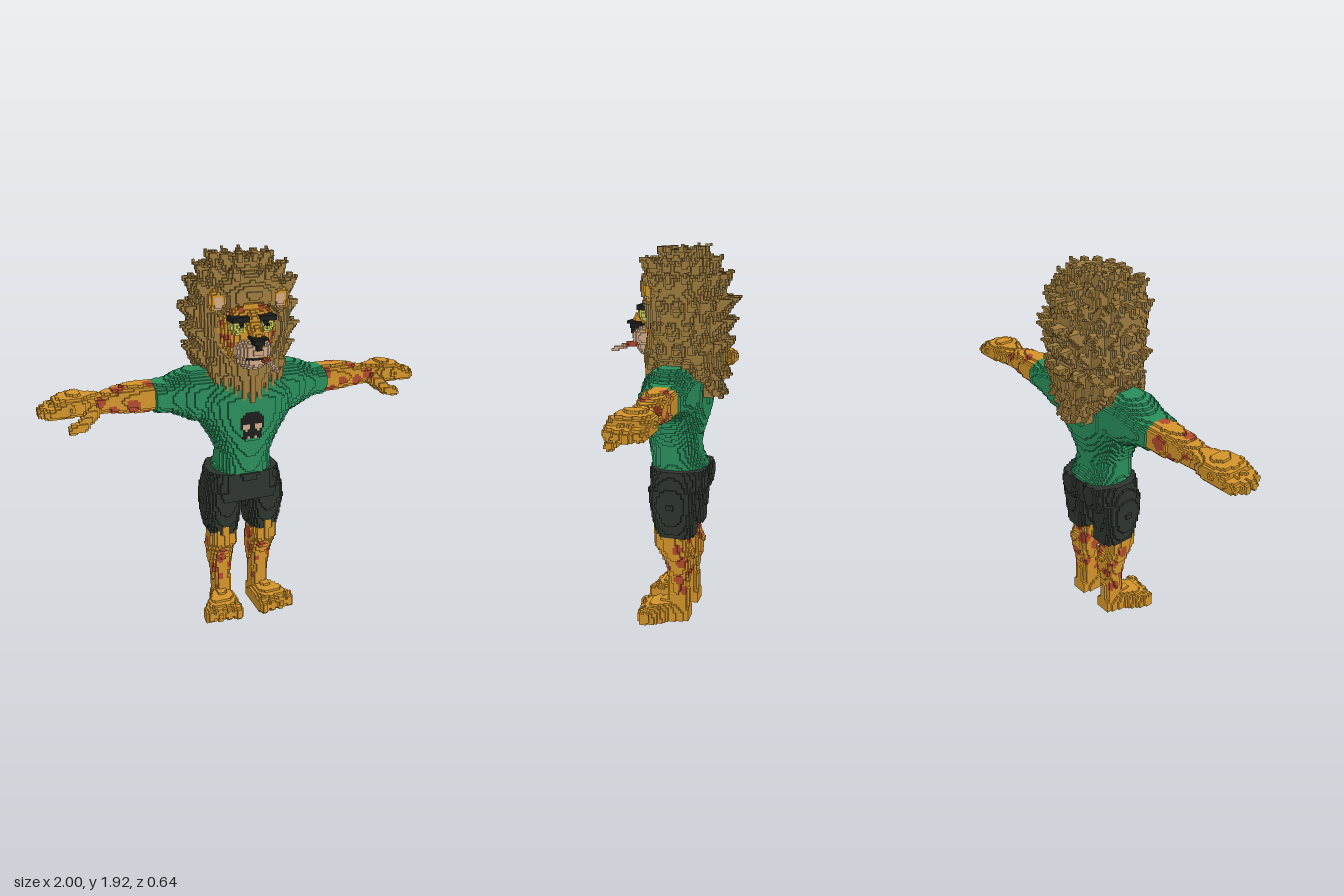
import * as THREE from 'three';

const S = 0.0125;                       // cube size
const N = [160, 156, 52];               // cubes along x, y, z
const ORIGIN = [-80, 0, -26];

const COLORS = {
  fur: 0xd3942b, spot: 0xb04a2e, mane: 0x9d7b3e, shirt: 0x2a8e5b, shorts: 0x2d352e,
  pale: 0xcfa987, black: 0x1d1d1b, eye: 0xc6c65a,
};

export function createModel() {
  const grid = new Uint8Array(N[0] * N[1] * N[2]);
  const layers = [];                    // one named mesh per layer
  const at = (i, j, k) => (i < 0 || j < 0 || k < 0 || i >= N[0] || j >= N[1] || k >= N[2])
    ? -1 : (i * N[1] + j) * N[2] + k;
  const layer = (name, color) => {
    const found = layers.findIndex((l) => l.name === name);
    return found >= 0 ? found + 1 : layers.push({ name, color });
  };
  let seed = 11;
  const rnd = () => (seed = (seed * 16807) % 2147483647) / 2147483647;
  const sides = [[1, 'left'], [-1, 'right']];

  // Fill the cubes inside a box that pass a test; "over" limits painting to given layers
  function fill(id, box, test, over) {
    const r = [0, 1, 2].map((a) => [
      Math.max(0, Math.floor(box[a][0] / S) - ORIGIN[a]),
      Math.min(N[a] - 1, Math.ceil(box[a][1] / S) - ORIGIN[a])]);
    for (let i = r[0][0]; i <= r[0][1]; i++)
      for (let j = r[1][0]; j <= r[1][1]; j++)
        for (let k = r[2][0]; k <= r[2][1]; k++) {
          const c = at(i, j, k);
          if (over && !over.includes(grid[c])) continue;
          if (test((i + 0.5 + ORIGIN[0]) * S, (j + 0.5) * S, (k + 0.5 + ORIGIN[2]) * S)) grid[c] = id;
        }
  }
  const ALL = [[-1, 1], [0, 1.95], [-0.325, 0.325]];

  // Sections [t, a0, a1, b0, b1] along an axis; a and b are the other two axes in x, y, z order
  function loft(id, axis, rows, side = 1, power = 2.4, keep = () => true) {
    fill(id, ALL, (x, y, z) => {
      const p = [x * side, y, z], t = p[axis];
      if (t < rows[0][0] || t > rows[rows.length - 1][0]) return false;
      let n = 1;
      while (n < rows.length - 1 && rows[n][0] < t) n++;
      const A = rows[n - 1], B = rows[n], f = (t - A[0]) / (B[0] - A[0]);
      const [, a0, a1, b0, b1] = A.map((v, q) => v + (B[q] - v) * f);
      const [a, b] = p.filter((_, q) => q !== axis);
      return Math.abs((2 * a - a0 - a1) / (a1 - a0)) ** power
        + Math.abs((2 * b - b0 - b1) / (b1 - b0)) ** power <= 1 && keep(x, y, z);
    });
  }
  function ball(id, c, r, over) {
    fill(id, c.map((v, q) => [v - r[q], v + r[q]]),
      (x, y, z) => ((x - c[0]) / r[0]) ** 2 + ((y - c[1]) / r[1]) ** 2 + ((z - c[2]) / r[2]) ** 2 <= 1, over);
  }
  function cone(id, a, b, ra, rb, over) {
    const d = b.map((v, q) => v - a[q]), len = d[0] ** 2 + d[1] ** 2 + d[2] ** 2, m = Math.max(ra, rb);
    fill(id, a.map((v, q) => [Math.min(v, b[q]) - m, Math.max(v, b[q]) + m]), (x, y, z) => {
      const f = Math.min(1, Math.max(0, ((x - a[0]) * d[0] + (y - a[1]) * d[1] + (z - a[2]) * d[2]) / len));
      return Math.hypot(x - a[0] - d[0] * f, y - a[1] - d[1] * f, z - a[2] - d[2] * f) <= ra + (rb - ra) * f;
    }, over);
  }
  const block = (id, x0, x1, y0, y1, z0, z1, over) => fill(id, [[x0, x1], [y0, y1], [z0, z1]],
    (x, y, z) => x > x0 && x < x1 && y > y0 && y < y1 && z > z0 && z < z1, over);

  for (const [s, name] of sides) {
    // Legs and feet
    const leg = layer(name + 'Leg', 'fur'), foot = layer(name + 'Foot', 'fur');
    loft(leg, 1, [[0.03, 0.06, 0.155, -0.11, 0.02], [0.12, 0.06, 0.155, -0.11, 0.005], [0.2, 0.06, 0.158, -0.105, -0.003],
      [0.3, 0.05, 0.175, -0.125, 0.005], [0.37, 0.045, 0.185, -0.133, 0.035], [0.42, 0.04, 0.185, -0.11, 0.07],
      [0.52, 0.045, 0.185, -0.1, 0.07]], s);
    loft(foot, 2, [[-0.11, 0.06, 0.15, -0.08, 0.08], [-0.02, 0.05, 0.18, -0.11, 0.11],
      [0.06, 0.045, 0.235, -0.105, 0.105], [0.11, 0.045, 0.25, -0.085, 0.085], [0.13, 0.05, 0.24, -0.06, 0.06]], s, 3);
    for (let t = 0; t < 4; t++)
      ball(foot, [s * (0.076 + t * 0.049), 0.038, 0.12 - t * 0.007], [0.029, 0.045, 0.042]);

    // Arms, fingers and thumb
    const arm = layer(name + 'Arm', 'fur');
    loft(arm, 0, [[0.4, 1.18, 1.31, -0.14, 0.02], [0.52, 1.17, 1.315, -0.14, 0.015], [0.62, 1.18, 1.305, -0.125, 0.005],
      [0.7, 1.19, 1.28, -0.115, 0], [0.76, 1.19, 1.285, -0.135, 0.01], [0.82, 1.19, 1.3, -0.155, 0.03],
      [0.89, 1.19, 1.29, -0.155, 0.035], [0.93, 1.195, 1.27, -0.14, 0.03]], s);
    for (let t = 0; t < 4; t++)
      cone(arm, [s * 0.86, 1.245, -0.125 + t * 0.045], [s * (t % 3 ? 0.975 : 0.95), 1.222, -0.115 + t * 0.04], 0.034, 0.026);
    cone(arm, [s * 0.75, 1.215, 0], [s * 0.81, 1.16, 0.035], 0.035, 0.028);
    cone(arm, [s * 0.81, 1.16, 0.035], [s * 0.86, 1.148, 0.04], 0.028, 0.02);

    // Spots scattered over limbs
    const legSpots = layer(name + 'LegSpots', 'spot'), armSpots = layer(name + 'ArmSpots', 'spot');
    for (let n = 0; n < 16; n++) {
      const a = n * 2.4 + rnd(), r = 0.022 + rnd() * 0.012;
      ball(legSpots, [s * (0.11 + Math.cos(a) * 0.062), 0.13 + n * 0.0215, -0.045 + Math.sin(a) * 0.068], [r, r * 1.2, r], [leg]);
    }
    for (let n = 0; n < 9; n++) {
      const a = n * 2.4 + rnd(), r = 0.024 + rnd() * 0.012;
      ball(armSpots, [s * (0.465 + n * 0.031), 1.24 + Math.cos(a) * 0.06, -0.06 + Math.sin(a) * 0.07], [r, r, r], [arm]);
    }
  }

  // Shorts
  const shorts = layer('shorts', 'shorts');
  loft(shorts, 1, [[0.68, -0.215, 0.215, -0.15, 0.1], [0.75, -0.205, 0.205, -0.165, 0.105], [0.83, -0.185, 0.185, -0.17, 0.108]], 1, 2.7);
  for (const [s] of sides) {
    loft(shorts, 1, [[0.48, 0.033, 0.19, -0.14, 0.06], [0.55, 0.022, 0.207, -0.143, 0.075],
      [0.65, 0.012, 0.22, -0.15, 0.09], [0.72, 0, 0.21, -0.165, 0.1]], s, 2.6);
    fill(shorts, ALL, (x, y, z) => y < 0.83
      && ((x - s * 0.085) / 0.09) ** 2 + ((y - 0.77) / 0.12) ** 2 + ((z + 0.1) / 0.092) ** 2 < 1);
  }

  // Shirt with sleeves
  const shirt = layer('shirt', 'shirt');
  loft(shirt, 1, [[0.825, -0.15, 0.15, -0.175, 0.105], [0.87, -0.138, 0.138, -0.15, 0.11], [0.93, -0.135, 0.135, -0.133, 0.12],
    [1, -0.165, 0.165, -0.145, 0.13], [1.08, -0.215, 0.215, -0.17, 0.142], [1.15, -0.265, 0.265, -0.182, 0.142],
    [1.22, -0.285, 0.285, -0.182, 0.14], [1.3, -0.28, 0.28, -0.17, 0.11], [1.365, -0.2, 0.2, -0.13, 0.05]]);
  for (const [s] of sides)
    loft(shirt, 0, [[0.12, 1.1, 1.36, -0.16, 0.09], [0.27, 1.11, 1.365, -0.165, 0.085], [0.33, 1.14, 1.345, -0.16, 0.065],
      [0.38, 1.162, 1.32, -0.16, 0.055], [0.445, 1.168, 1.31, -0.152, 0.05]], s);

  // Painted skull on the chest
  const skull = layer('chestSkull', 'black'), holes = layer('chestSkullHoles', 'pale');
  ball(skull, [0, 1.105, 0.13], [0.068, 0.062, 0.06], [shirt]);
  block(skull, -0.045, 0.045, 1.025, 1.08, 0.08, 0.2, [shirt]);
  for (const [s] of sides) {
    ball(holes, [s * 0.031, 1.085, 0.135], [0.018, 0.018, 0.05], [skull]);
    block(holes, s * 0.019 - 0.007, s * 0.019 + 0.007, 1.024, 1.04, 0.08, 0.2, [skull]);
  }

  // Mane body, left open around the face and ears
  const mane = layer('mane', 'mane');
  const open = (x, y, z) => !(z > 0.065 && ((x / 0.175) ** 2 + ((y - 1.55) / 0.15) ** 2 < 1
    || Math.hypot(Math.abs(x) - 0.17, y - 1.71) < 0.06));
  const rows = [[1.26, -0.11, 0.11, -0.22, 0.135], [1.35, -0.19, 0.19, -0.24, 0.145], [1.45, -0.235, 0.235, -0.25, 0.145],
    [1.55, -0.25, 0.25, -0.255, 0.145], [1.65, -0.255, 0.255, -0.26, 0.15], [1.75, -0.23, 0.23, -0.235, 0.16],
    [1.82, -0.185, 0.185, -0.18, 0.115], [1.87, -0.12, 0.12, -0.12, 0.03]];
  loft(mane, 1, rows, 1, 2, open);

  // Pointed locks around the mane, mirrored left and right
  rows.forEach((row, q) => {
    const [y, , rx, z0, z1] = row, n = q > 5 ? 6 : 9, cz = (z0 + z1) / 2, rz = (z1 - z0) / 2;
    for (let m = 0; m < n; m++) {
      const a = Math.PI * (m + (q % 2 ? 0.5 : 0.85)) / n;
      if (a < 1.15 && q < 6) continue;
      const sx = Math.sin(a), sz = Math.cos(a), len = 0.045 + rnd() * 0.02;
      const lift = q < 2 ? -0.06 : q < 5 ? 0.02 : 0.045;
      for (const [s] of sides)
        cone(mane, [s * sx * rx * 0.86, y - 0.02, cz + sz * rz * 0.86],
          [s * sx * (rx + len * 0.8), y + lift, cz + sz * (rz + len)], 0.052, 0.006);
    }
  });
  // Crown tufts, beard strands and the hanging point behind
  for (let n = -2; n <= 2; n++) {
    const x = n * 0.068, e = Math.abs(n);
    cone(mane, [x, 1.83, -0.05], [x * 1.1, 1.915 - e * e * 0.009, -0.05], 0.05, 0.008);
    cone(mane, [x * 0.9, 1.8, -0.14], [x * 1.1, 1.88 - e * 0.012, -0.17], 0.05, 0.008);
    cone(mane, [x * 0.9, 1.77, 0.08], [x, 1.87 - e * 0.015, 0.05], 0.045, 0.01);
  }
  for (let n = -4; n <= 4; n++) {
    const e = Math.abs(n), x = n * 0.042;
    cone(mane, [x, 1.38, 0.115 - e * 0.014], [x * 0.95, 1.215 + e * 0.024, 0.14 - e * 0.012], 0.032, 0.01);
    cone(mane, [x * 1.1, 1.4, -0.22 + e * 0.012], [x, 1.18 + e * 0.03, -0.235 + e * 0.012], 0.045, 0.012);
  }

  // Head, muzzle and nose
  const head = layer('head', 'fur'), muzzle = layer('muzzle', 'pale'), nose = layer('nose', 'black');
  ball(head, [0, 1.56, 0.03], [0.148, 0.17, 0.115]);
  ball(muzzle, [0, 1.475, 0.125], [0.09, 0.06, 0.085]);
  ball(muzzle, [0, 1.425, 0.12], [0.07, 0.045, 0.07]);
  cone(head, [0, 1.63, 0.115], [0, 1.545, 0.185], 0.036, 0.03);
  fill(nose, [[-0.04, 0.04], [1.48, 1.56], [0.15, 0.238]],
    (x, y, z) => y > 1.485 && y < 1.553 && Math.abs(x) < 0.006 + (y - 1.485) * 0.5 && z > 0.16 && z < 0.236 - (1.553 - y) * 0.25);
  block(layer('mouth', 'black'), -0.05, 0.05, 1.437, 1.45, 0.17, 0.25, [muzzle]);

  for (const [s, name] of sides) {
    // Ears with pale inner side
    const ear = layer(name + 'Ear', 'fur');
    ball(ear, [s * 0.157, 1.708, 0.07], [0.045, 0.052, 0.034]);
    fill(layer(name + 'EarInner', 'pale'), ALL, (x, y, z) => z > 0.075
      && Math.hypot((x * s - 0.155) / 0.025, (y - 1.695) / 0.034) < 1, [ear]);
    // Eyes with dark lids and pupils
    const eye = layer(name + 'Eye', 'eye'), lid = layer(name + 'Eyelid', 'black');
    ball(eye, [s * 0.072, 1.59, 0.122], [0.037, 0.037, 0.036]);
    block(layer(name + 'Pupil', 'black'), s * 0.068 - 0.0125, s * 0.068 + 0.0125, 1.587, 1.615, 0.14, 0.2, [eye]);
    block(lid, s * 0.07 - 0.042, s * 0.07 + 0.042, 1.612, 1.6375, 0.09, 0.165);
    // Face spots
    const marks = layer('faceSpots', 'spot');
    for (const [x, y, r] of [[0.1, 1.66, 0.018], [0.05, 1.67, 0.016], [0.12, 1.535, 0.02], [0.14, 1.6, 0.018], [0.1, 1.5, 0.014]])
      ball(marks, [s * x, y, 0.1], [r, r, 0.07], [head]);
  }

  // Thin stick held in the mouth
  cone(layer('stickBase', 'spot'), [0.03, 1.445, 0.17], [0.045, 1.432, 0.23], 0.012, 0.012);
  cone(layer('stick', 'pale'), [0.045, 1.43, 0.235], [0.058, 1.405, 0.303], 0.011, 0.011);

  // Turn the visible cube faces into one mesh per layer, joining runs of equal faces
  const data = layers.map(() => ({ pos: [], nor: [], idx: [] }));
  const id = (c) => { const q = at(c[0], c[1], c[2]); return q < 0 ? 0 : grid[q]; };
  const step = (c, a, n) => { const r = [...c]; r[a] += n; return r; };
  for (let i = 0; i < N[0]; i++) for (let j = 0; j < N[1]; j++) for (let k = 0; k < N[2]; k++) {
    const c = [i, j, k], me = id(c);
    if (!me) continue;
    for (let d = 0; d < 3; d++) for (const s of [1, -1]) {
      const u = (d + 1) % 3, v = (d + 2) % 3;
      const shows = (p) => id(p) === me && !id(step(p, d, s));
      if (!shows(c) || shows(step(c, u, -1))) continue;
      let n = 1;
      while (shows(step(c, u, n))) n++;
      const { pos, nor, idx } = data[me - 1], base = pos.length / 3;
      for (const [du, dv] of [[0, 0], [n, 0], [n, 1], [0, 1]]) {
        const p = [...c], m = [0, 0, 0];
        p[d] += s > 0 ? 1 : 0; p[u] += du; p[v] += dv; m[d] = s;
        pos.push(...p.map((w, a) => (w + ORIGIN[a]) * S));
        nor.push(...m);
      }
      idx.push(...(s > 0 ? [0, 1, 2, 0, 2, 3] : [0, 2, 1, 0, 3, 2]).map((w) => w + base));
    }
  }
  const materials = {};
  for (const key in COLORS) {
    materials[key] = new THREE.MeshStandardMaterial({ color: COLORS[key] });
    materials[key].name = key;
  }
  const model = new THREE.Group();
  model.name = 'lionFigure';
  layers.forEach((l, q) => {
    if (!data[q].idx.length) return;
    const g = new THREE.BufferGeometry();
    g.setAttribute('position', new THREE.Float32BufferAttribute(data[q].pos, 3));
    g.setAttribute('normal', new THREE.Float32BufferAttribute(data[q].nor, 3));
    g.setIndex(data[q].idx);
    const mesh = new THREE.Mesh(g, materials[l.color]);
    mesh.name = l.name;
    model.add(mesh);
  });
  return model;
}
